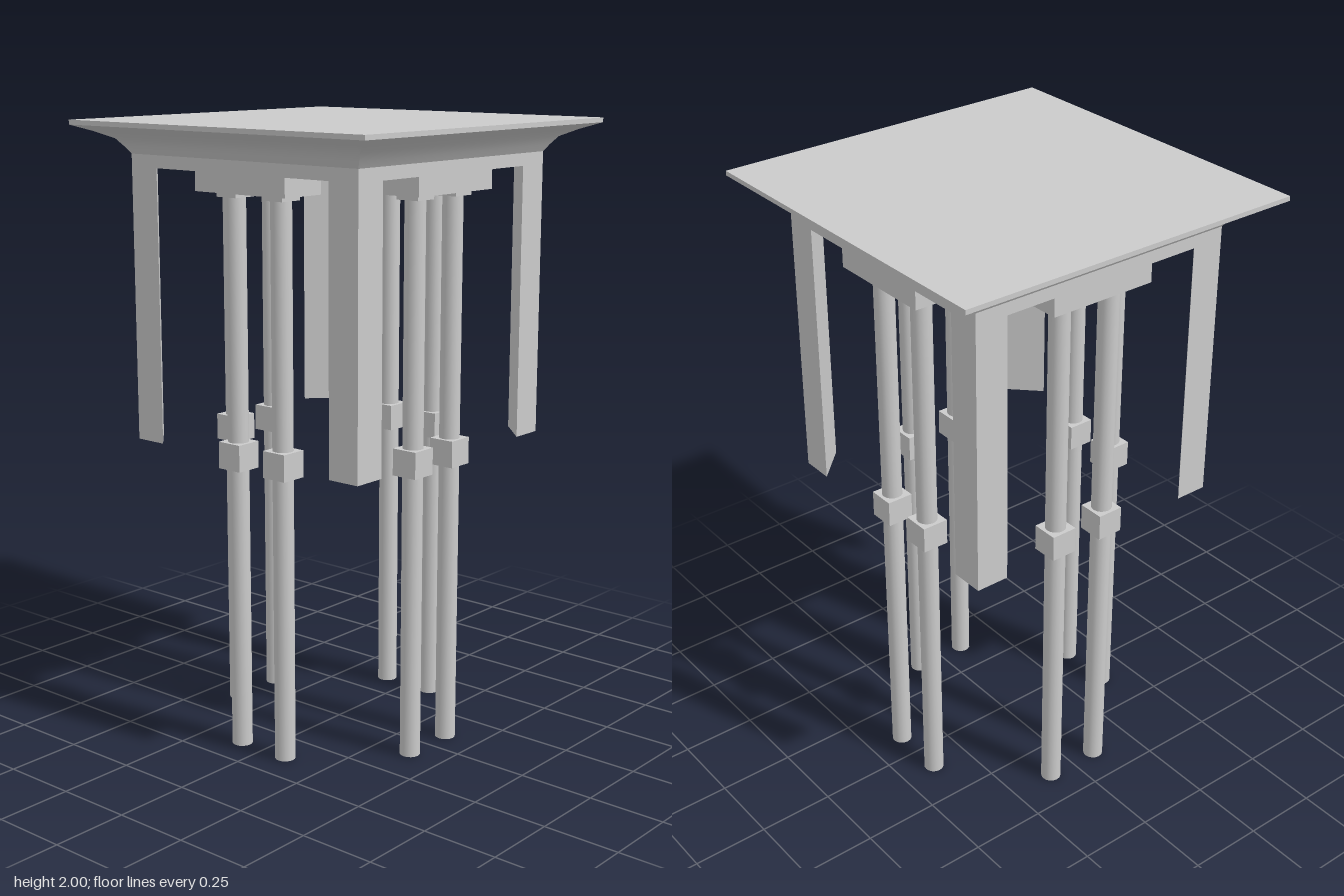
import * as THREE from 'three';

const grey = new THREE.MeshStandardMaterial({ color: 0xcccccc });
const HALF = 0.46;   // half width of the frame
const INNER = 0.35;  // half width of the frame's opening

function add(parent, name, geometry, x = 0, y = 0, z = 0) {
  const mesh = new THREE.Mesh(geometry, grey);
  mesh.name = name;
  mesh.position.set(x, y, z);
  parent.add(mesh);
  return mesh;
}

// Box placed by its bottom and top height
function slab(parent, name, w, d, y0, y1, x = 0, z = 0) {
  return add(parent, name, new THREE.BoxGeometry(w, y1 - y0, d), x, (y0 + y1) / 2, z);
}

// Flat outline (x, -z) raised upwards from y = 0
function raise(shape, height) {
  return new THREE.ExtrudeGeometry(shape, { depth: height, bevelEnabled: false }).rotateX(-Math.PI / 2);
}

function squarePath(Type, h) {
  return new Type([[-h, -h], [h, -h], [h, h], [-h, h]].map(([x, y]) => new THREE.Vector2(x, y)));
}

// One mitred side of the cove under the roof, swept along profile [half width, height]
function coveSide(profile) {
  const positions = [], index = [];
  profile.forEach(([h, y], i) => {
    positions.push(-h, y, h, h, y, h);
    if (i > 0) {
      const a = 2 * i - 2;
      index.push(a, a + 1, a + 3, a, a + 3, a + 2);
    }
  });
  const geometry = new THREE.BufferGeometry();
  geometry.setAttribute('position', new THREE.Float32BufferAttribute(positions, 3));
  geometry.setIndex(index);
  geometry.computeVertexNormals();
  return geometry;
}

export function createModel() {
  const model = new THREE.Group();
  model.name = 'canopyOnPoles';

  // Roof plate, ceiling and square frame
  slab(model, 'roofPlate', 1.19, 1.19, 1.985, 2);
  slab(model, 'ceiling', 2 * HALF, 2 * HALF, 1.893, 1.9);
  const ring = squarePath(THREE.Shape, HALF);
  ring.holes.push(squarePath(THREE.Path, INNER));
  add(model, 'frame', raise(ring, 0.04), 0, 1.855, 0);

  const cove = coveSide([[0.46, 1.895], [0.475, 1.917], [0.495, 1.942], [0.54, 1.964], [0.595, 1.985]]);
  const corner = new THREE.Shape([
    new THREE.Vector2(HALF, -HALF), new THREE.Vector2(HALF, -INNER), new THREE.Vector2(INNER, -HALF),
  ]);
  const cornerPost = raise(corner, 1.855 - 0.98);
  const pole = new THREE.CylinderGeometry(0.033, 0.033, 1.79, 16);

  // The four sides repeat around the centre
  for (let i = 0; i < 4; i++) {
    const side = new THREE.Group();
    side.name = 'side' + (i + 1);
    side.rotation.y = i * Math.PI / 2;
    add(side, 'cove', cove);
    add(side, 'cornerPost', cornerPost, 0, 0.98, 0);
    slab(side, 'bracket', 0.366, 0.16, 1.795, 1.856, 0, 0.38);
    for (const x of [-0.094, 0.094]) {
      add(side, 'pole', pole, x, 0.895, 0.378);
      slab(side, 'poleBlock', 0.088, 0.088, 0.927, 1.013, x, 0.378);
      slab(side, 'poleCap', 0.08, 0.08, 1.778, 1.796, x, 0.378);
    }
    model.add(side);
  }
  return model;
}
